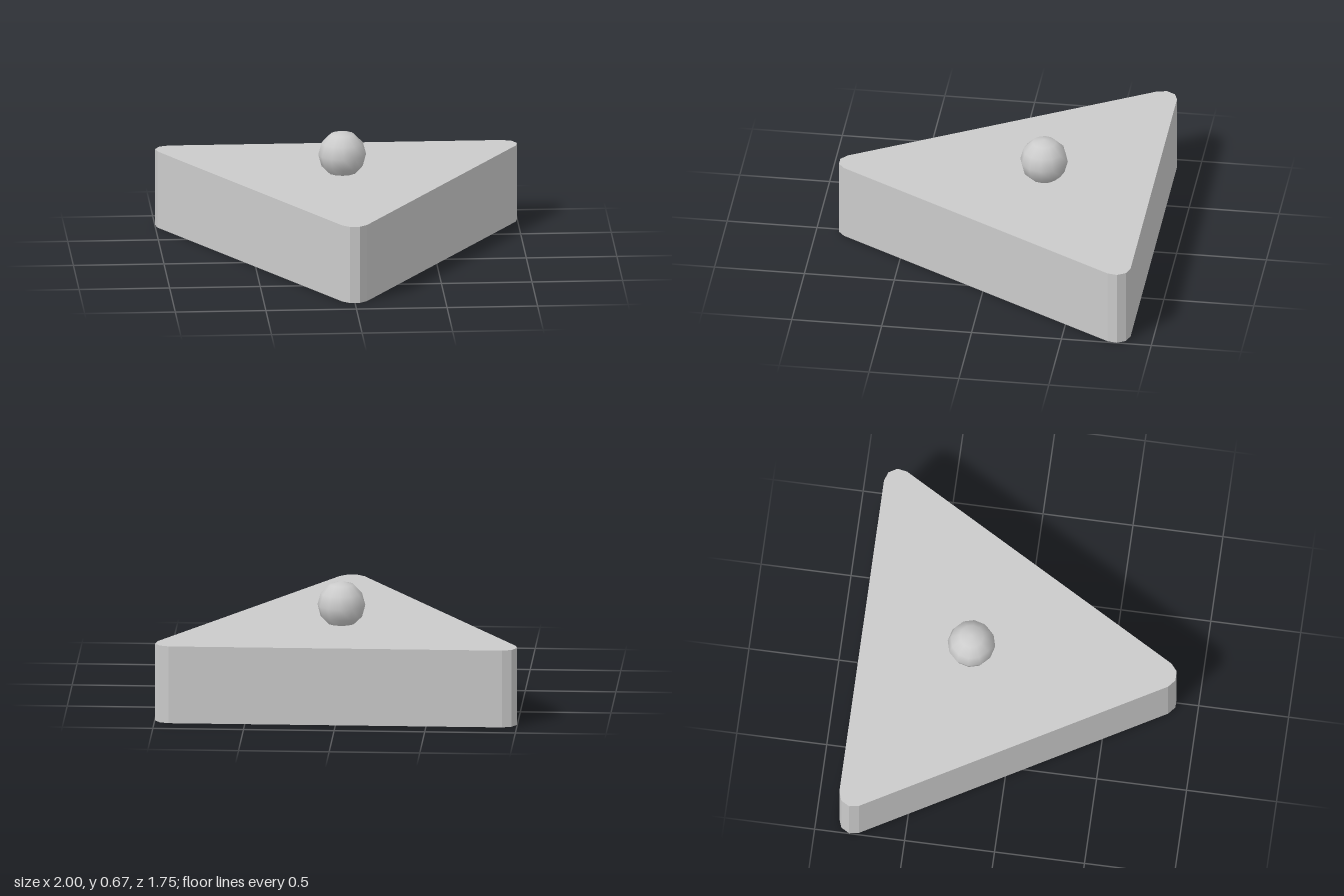
import * as THREE from 'three';

export function createModel() {
  const group = new THREE.Group();
  const material = new THREE.MeshStandardMaterial({ color: 0xcccccc });
  const rad = THREE.MathUtils.degToRad;

  const height = 0.435;
  const centreZ = -0.263; // centroid of the triangle
  const cornerDistance = 1.063; // centroid to corner arc centre
  const cornerRadius = 0.079;
  const cornerSegments = 3;

  // Triangular slab: three corners, each rounded by a short faceted arc
  const outline = [];
  for (let k = 0; k < 3; k++) {
    const out = -90 + 120 * k;
    for (let i = 0; i <= cornerSegments; i++) {
      const a = out - 60 + (120 * i) / cornerSegments;
      outline.push(new THREE.Vector2(
        cornerDistance * Math.cos(rad(out)) + cornerRadius * Math.cos(rad(a)),
        cornerDistance * Math.sin(rad(out)) + cornerRadius * Math.sin(rad(a))
      ));
    }
  }
  const slabGeometry = new THREE.ExtrudeGeometry(new THREE.Shape(outline), {
    depth: height,
    bevelEnabled: false,
  });
  slabGeometry.rotateX(-Math.PI / 2);
  const slab = new THREE.Mesh(slabGeometry, material);
  slab.name = 'triangularBase';
  slab.position.z = centreZ;
  group.add(slab);

  // Smooth ball, slightly sunk into the slab at its centroid
  const ball = new THREE.Mesh(new THREE.SphereGeometry(0.132, 12, 6), material);
  ball.name = 'ball';
  ball.position.set(0, 0.538, centreZ);
  group.add(ball);

  return group;
}
